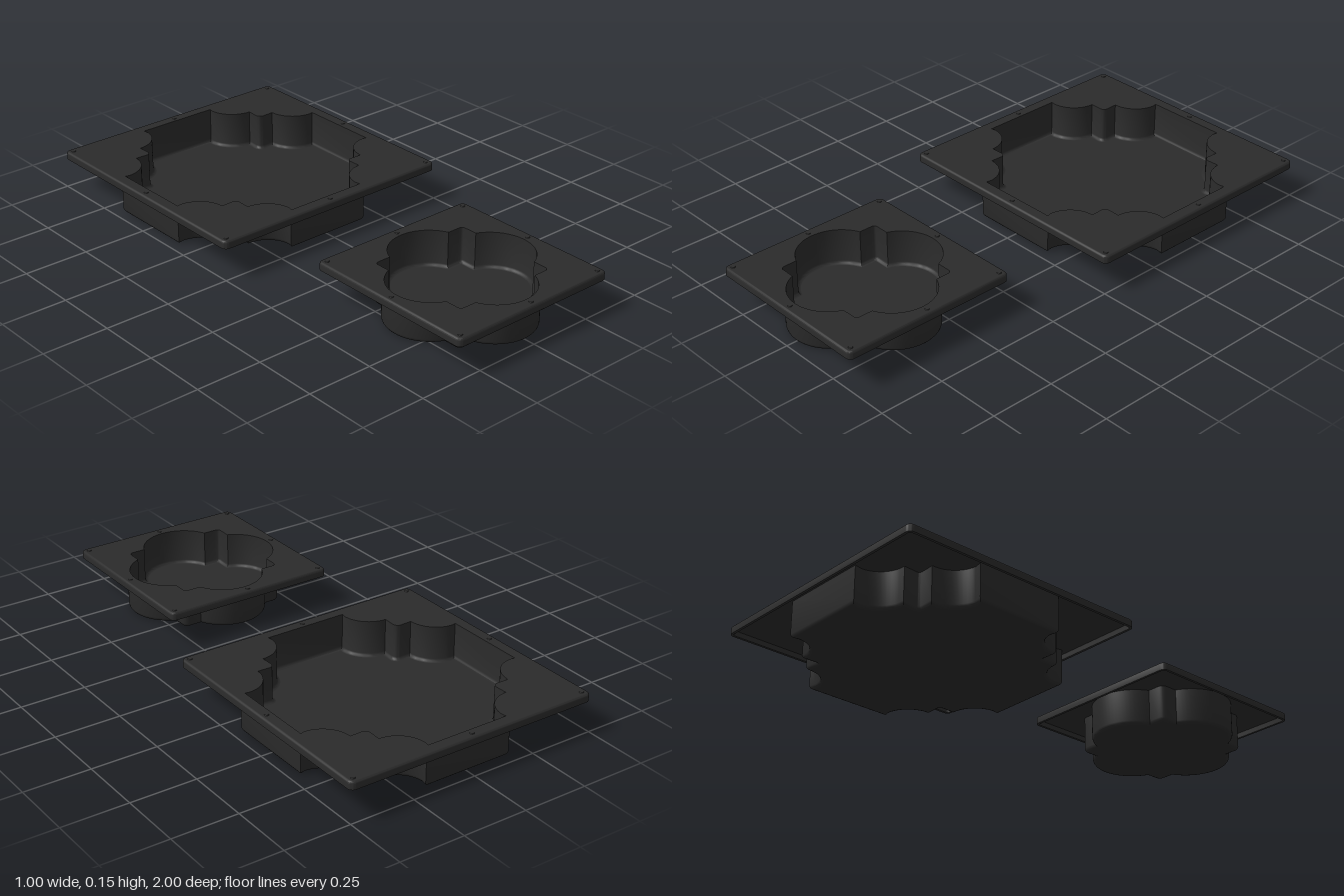
import * as THREE from 'three';
import { toCreasedNormals } from 'three/addons/utils/BufferGeometryUtils.js';

const TOP = 0.15, WALL = 0.009;
const rad = THREE.MathUtils.degToRad;

// Points on an arc, angles in degrees
function arc(cx, cy, r, from, to, n) {
  return Array.from({ length: n + 1 }, (_, i) => {
    const a = rad(from + (to - from) * i / n);
    return [cx + r * Math.cos(a), cy + r * Math.sin(a)];
  });
}

// Mirror an eighth of an outline about the diagonal, then turn it four times
function fourfold(eighth) {
  const quarter = [...eighth, ...eighth.map(([x, y]) => [y, x]).reverse()];
  const all = [];
  for (let k = 0; k < 4; k++)
    for (const [x, y] of quarter) all.push([[x, y], [-y, x], [-x, -y], [y, -x]][k]);
  // Drop points that repeat the one before, also across the seam
  return all.filter((p, i) => {
    const q = all[(i + all.length - 1) % all.length];
    return Math.hypot(p[0] - q[0], p[1] - q[1]) > 1e-4;
  });
}

// Move a counter-clockwise outline outward by d
function offset(loop, d) {
  const n = loop.length;
  const normal = (a, b) => {
    const l = Math.hypot(b[0] - a[0], b[1] - a[1]);
    return [(b[1] - a[1]) / l, (a[0] - b[0]) / l];
  };
  return loop.map((p, i) => {
    const u = normal(loop[(i + n - 1) % n], p), v = normal(p, loop[(i + 1) % n]);
    const k = d / Math.max(0.5, 1 + u[0] * v[0] + u[1] * v[1]);
    return [p[0] + (u[0] + v[0]) * k, p[1] + (u[1] + v[1]) * k];
  });
}

// Sweep an outline through a profile of [offset, height] steps
function loft(loop, profile) {
  const pos = [], index = [], n = loop.length;
  for (const [d, y] of profile)
    for (const [px, py] of offset(loop, d)) pos.push(px, y, -py);
  for (let j = 0; j < profile.length - 1; j++) {
    for (let i = 0; i < n; i++) {
      const k = (i + 1) % n;
      const a = j * n + i, b = a + n, c = (j + 1) * n + k, d = j * n + k;
      index.push(a, b, c, a, c, d);
    }
  }
  const g = new THREE.BufferGeometry();
  g.setAttribute('position', new THREE.Float32BufferAttribute(pos, 3));
  g.setIndex(index);
  return toCreasedNormals(g, rad(35));
}

// Flat horizontal face with an optional opening
function sheet(loop, y, up, hole) {
  const vecs = (l) => l.map(([a, b]) => new THREE.Vector2(a, b));
  const shape = new THREE.Shape(vecs(loop));
  if (hole) shape.holes.push(new THREE.Path(vecs(hole)));
  const g = new THREE.ShapeGeometry(shape);
  g.rotateX(-Math.PI / 2);
  if (!up) {
    const ix = g.index.array;
    for (let i = 0; i < ix.length; i += 3) [ix[i], ix[i + 1]] = [ix[i + 1], ix[i]];
    g.computeVertexNormals();
  }
  return g.translate(0, y, 0);
}

function makeTray(name, half, cavity, material) {
  const tray = new THREE.Group();
  tray.name = name;
  const add = (part, geometry) => {
    const m = new THREE.Mesh(geometry, material);
    m.name = part;
    tray.add(m);
    return m;
  };
  const rim = fourfold(arc(half - 0.02, half - 0.02, 0.02, 0, 45, 4));

  // Flange with a rounded edge and a turned-down skirt
  add('flangeTop', sheet(offset(rim, -0.008), TOP, true, cavity));
  add('flangeSkirt', loft(rim, [
    [-0.008, TOP], [-0.004, 0.149], [-0.001, 0.146], [0, 0.142],
    [0, 0.12], [-0.01, 0.12], [-0.01, 0.14],
  ]));
  add('flangeUnderside', sheet(offset(rim, -0.01), 0.14, false, offset(cavity, WALL)));

  // Recessed cavity
  add('cavityWall', loft(cavity, [
    [-0.012, 0.01], [-0.006, 0.012], [-0.002, 0.016], [0, 0.022], [0, TOP],
  ]));
  add('cavityFloor', sheet(offset(cavity, -0.012), 0.01, true));

  // Outside of the cavity
  add('outerWall', loft(cavity, [
    [WALL, 0.14], [WALL, 0.015], [0.007, 0.008], [0.003, 0.003], [-0.005, 0],
  ]));
  add('base', sheet(offset(cavity, -0.005), 0, false));

  // Small locating studs at corners and edge middles
  const s = half - 0.024;
  for (const i of [-1, 0, 1]) for (const j of [-1, 0, 1]) {
    if (!i && !j) continue;
    add('stud', new THREE.CylinderGeometry(0.007, 0.009, 0.003, 16)).position.set(i * s, TOP + 0.0005, j * s);
  }
  return tray;
}

export function createModel() {
  const model = new THREE.Group();
  model.name = 'mouldTrays';
  const black = new THREE.MeshStandardMaterial({ color: 0x2b2b2b });
  black.name = 'charcoal plastic';

  // Cross-like star cavity with scooped corners
  const star = fourfold([
    [0.454, 0.163], [0.44, 0.16], ...arc(0.44, 0.267, 0.108, -95, -180, 10),
    ...arc(0.285, 0.285, 0.02, 270, 225, 3),
  ]);
  // Four-lobed cavity with stepped corners
  const quatrefoil = fourfold([
    ...arc(0.15, 0, 0.15, 0, 68, 12), ...arc(0.191, 0.191, 0.015, 0, 45, 3),
  ]);

  const large = makeTray('largeTray', 0.5, star, black);
  large.position.z = -0.5;
  const small = makeTray('smallTray', 0.345, quatrefoil, black);
  small.position.z = 0.655;
  model.add(large, small);
  return model;
}
